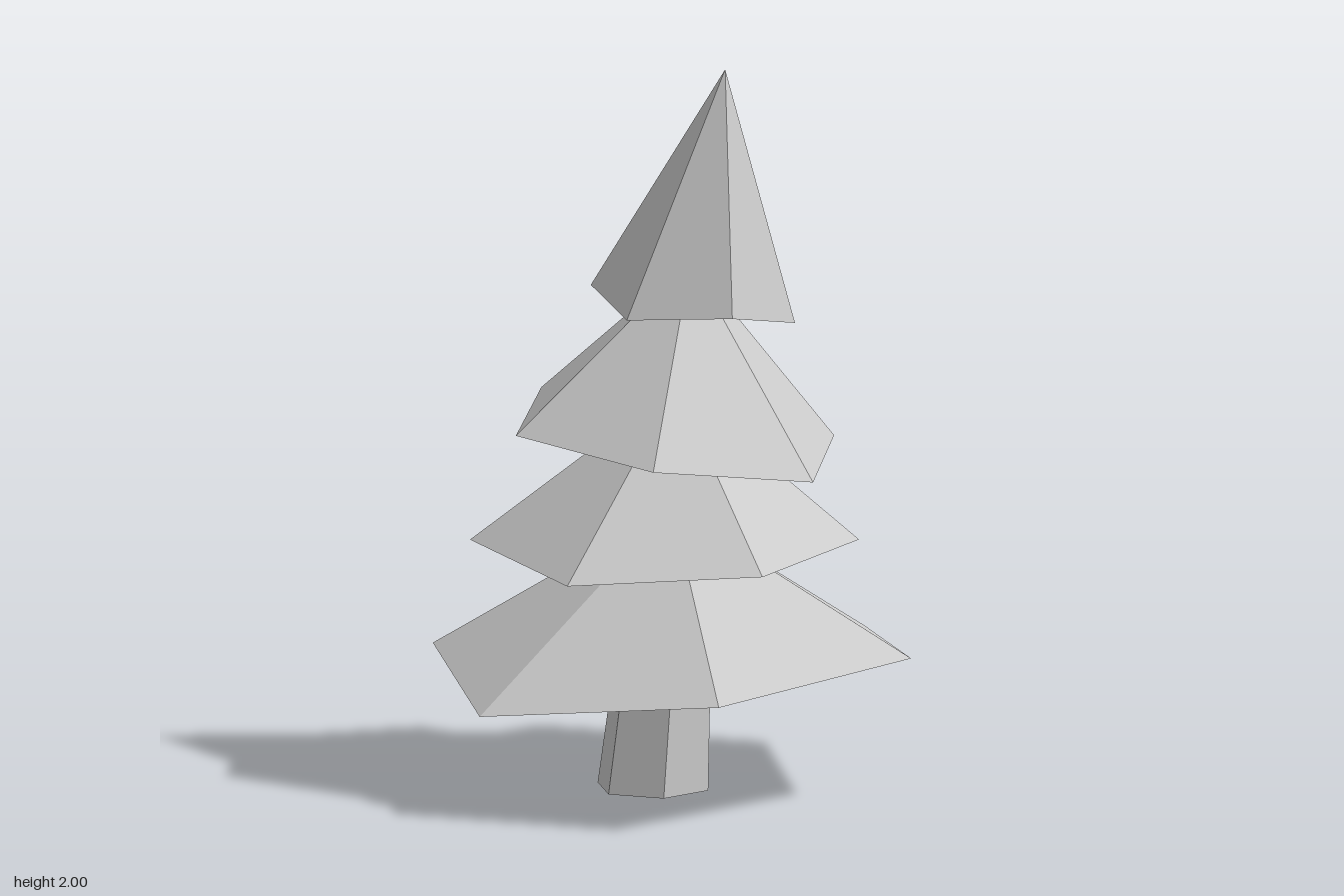
import * as THREE from 'three';

const material = new THREE.MeshStandardMaterial({ color: 0xcccccc, flatShading: true });

// A crooked six-sided cone: rim corners run clockwise seen from above
function tierGeometry(apex, rim) {
  const centre = [0, 1, 2].map(k => rim.reduce((sum, p) => sum + p[k], 0) / rim.length);
  const positions = [];
  rim.forEach((a, i) => {
    const b = rim[(i + 1) % rim.length];
    positions.push(...apex, ...b, ...a); // sloping side
    positions.push(...centre, ...a, ...b); // underside
  });
  const geometry = new THREE.BufferGeometry();
  geometry.setAttribute('position', new THREE.Float32BufferAttribute(positions, 3));
  geometry.computeVertexNormals();
  return geometry;
}

// Foliage, from the bottom tier to the tip
const tiers = [
  {
    name: 'bottomFoliage', apex: [0, 0.78, 0],
    rim: [[0, 0.305, -0.69], [0.6, 0.35, -0.345], [0.6, 0.405, 0.345],
      [0, 0.365, 0.69], [-0.6, 0.29, 0.345], [-0.6, 0.35, -0.345]],
  },
  {
    name: 'lowerFoliage', apex: [0.01, 1.12, 0.01],
    rim: [[-0.19, 0.685, -0.515], [0.33, 0.655, -0.42], [0.505, 0.685, 0.08],
      [0.16, 0.68, 0.485], [-0.365, 0.655, 0.39], [-0.54, 0.685, -0.115]],
  },
  {
    name: 'upperFoliage', apex: [0.05, 1.47, 0.01],
    rim: [[-0.3, 1.055, -0.335], [0.155, 0.98, -0.425], [0.465, 0.945, -0.075],
      [0.33, 0.905, 0.33], [-0.14, 0.98, 0.465], [-0.455, 1.02, 0.11]],
  },
  {
    name: 'topFoliage', apex: [0.145, 2, 0.015],
    rim: [[0, 1.355, -0.235], [0.29, 1.36, -0.195], [0.325, 1.3, 0.09],
      [0.115, 1.36, 0.28], [-0.155, 1.34, 0.155], [-0.205, 1.385, -0.11]],
  },
];

export function createModel() {
  const tree = new THREE.Group();
  tree.name = 'tree';

  // Trunk: tapered hexagon leaning a little to one side
  const trunkGeometry = new THREE.CylinderGeometry(0.132, 0.16, 0.45, 6).translate(0, 0.225, 0);
  const p = trunkGeometry.attributes.position;
  for (let i = 0; i < p.count; i++) p.setX(i, p.getX(i) - 0.053 + p.getY(i) * 0.08);
  trunkGeometry.computeVertexNormals();
  const trunk = new THREE.Mesh(trunkGeometry, material);
  trunk.name = 'trunk';
  tree.add(trunk);

  for (const { name, apex, rim } of tiers) {
    const tier = new THREE.Mesh(tierGeometry(apex, rim), material);
    tier.name = name;
    tree.add(tier);
  }
  return tree;
}
